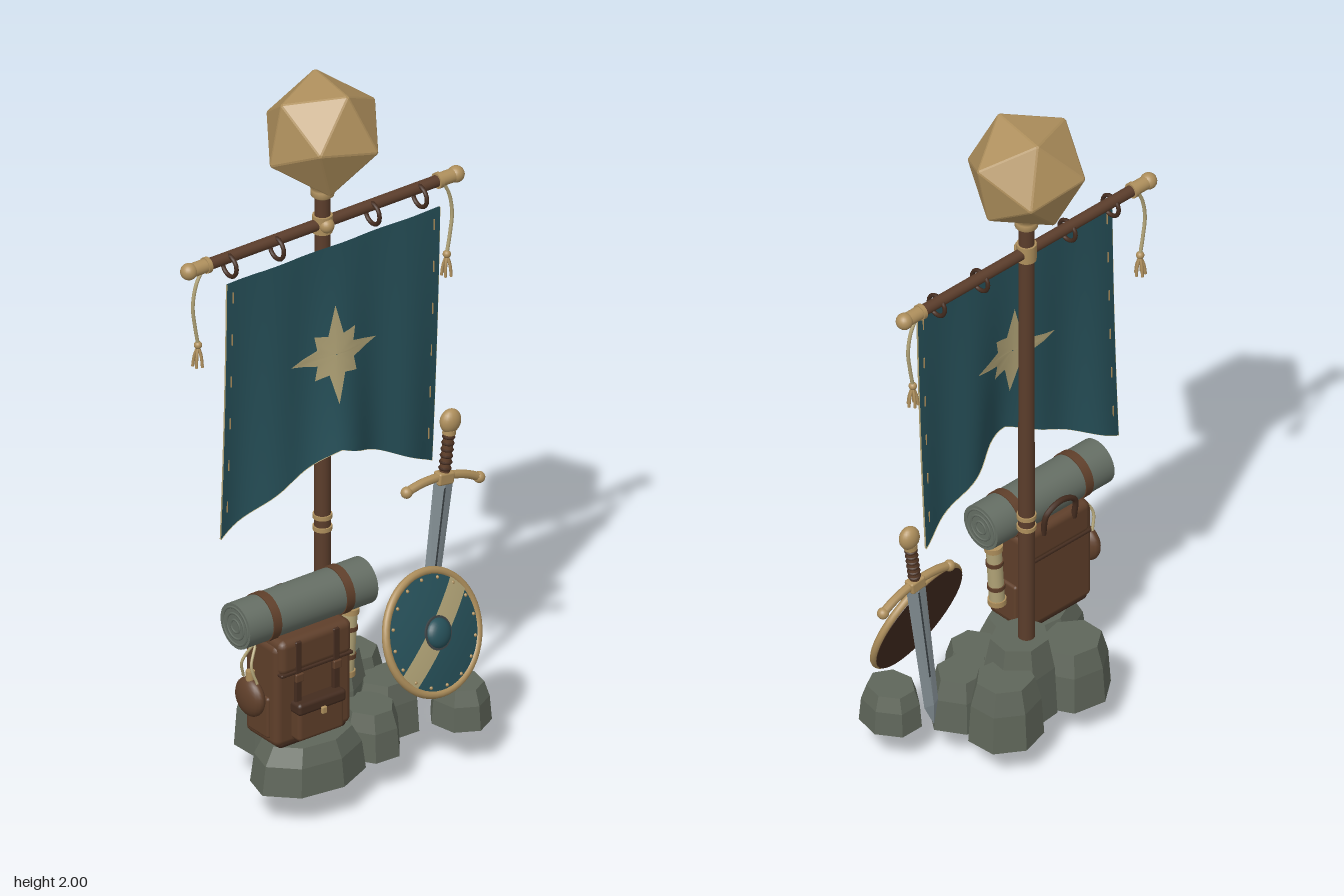
import * as THREE from 'three';
import { ConvexGeometry } from 'three/addons/geometries/ConvexGeometry.js';
import { ParametricGeometry } from 'three/addons/geometries/ParametricGeometry.js';
import { RoundedBoxGeometry } from 'three/addons/geometries/RoundedBoxGeometry.js';

const paint = (name, color, extra = {}) => Object.assign(new THREE.MeshStandardMaterial({ color, ...extra }), { name });
const V = (x, y, z = 0) => new THREE.Vector3(x, y, z);
const PX = -0.031, PZ = -0.074; // pole axis

export function createModel() {
  const gold = paint('gold', 0xae8f5c);
  const wood = paint('wood', 0x5b3d2b);
  const darkLeather = paint('dark leather', 0x442c1f);
  const leather = paint('leather', 0x5f3f2a);
  const cloth = paint('teal cloth', 0x27515a, { side: THREE.DoubleSide });
  const cream = paint('cream', 0xb3a578, { side: THREE.DoubleSide });
  const stone = paint('stone', 0x5f665a, { flatShading: true });
  const wool = paint('grey wool', 0x656e64);
  const steel = paint('steel', 0x8a969b, { flatShading: true });
  const iron = paint('dark iron', 0x3c4346);

  const root = new THREE.Group();
  const group = (name, parent = root, x = 0, y = 0, z = 0) => {
    const g = new THREE.Group();
    g.name = name;
    g.position.set(x, y, z);
    parent.add(g);
    return g;
  };
  const add = (parent, name, geo, mat, x = 0, y = 0, z = 0) => {
    const m = new THREE.Mesh(geo, mat);
    m.name = name;
    m.position.set(x, y, z);
    parent.add(m);
    return m;
  };
  const cyl = (r, h, r2 = r, n = 20) => new THREE.CylinderGeometry(r2, r, h, n);
  const cylX = (r, h, n = 20) => cyl(r, h, r, n).rotateZ(Math.PI / 2);
  const box = (w, h, d, r = 0.006) => new RoundedBoxGeometry(w, h, d, 2, r);
  const ball = (r) => new THREE.SphereGeometry(r, 20, 14);
  const lathe = (pts, n) => new THREE.LatheGeometry(pts.map(([r, y]) => new THREE.Vector2(r, y)), n);
  const tube = (pts, r, n = 24) => new THREE.TubeGeometry(new THREE.CatmullRomCurve3(pts), n, r, 8);
  const sheet = (f, n, m) => {
    const g = new ParametricGeometry(f, n, m);
    g.computeVertexNormals();
    return g;
  };

  // Rocks: tapered prisms [x, z, rx, rz, top, sides, turn, base]
  const rocks = group('rocks');
  [[-0.215, 0.105, 0.17, 0.115, 0.225, 8, 0.2], [0.0, 0.085, 0.085, 0.095, 0.225, 7, 0.4],
    [-0.02, -0.06, 0.105, 0.1, 0.33, 7, 0.1], [-0.17, -0.1, 0.11, 0.1, 0.265, 7, 0.7],
    [0.08, -0.11, 0.105, 0.1, 0.275, 7, 0.3], [0.11, 0.02, 0.1, 0.085, 0.245, 6, 0.5],
    [0.27, 0.122, 0.08, 0.09, 0.22, 7, 0.9, 0.108]].forEach(([x, z, rx, rz, top, n, turn, base = 0.094]) => {
    const h = top - base;
    const geo = lathe([[0, 0], [1, 0], [0.93, 0.62 * h], [0.76, h], [0, h]], n);
    geo.rotateY(turn).scale(rx, 1, rz);
    add(rocks, 'rock', geo, stone, x, base, z);
  });

  // Standard: foot, pole, collars and faceted finial
  const standard = group('standard', root, PX, 0, PZ);
  add(standard, 'poleFoot', cyl(0.029, 0.15), cloth, 0, 0.075);
  add(standard, 'pole', cyl(0.0225, 1.6, 0.021), wood, 0, 0.93);
  for (const y of [0.69, 0.725]) add(standard, 'poleRing', cyl(0.026, 0.012), gold, 0, y);
  add(standard, 'finialCollar', lathe([[0.024, 1.672], [0.031, 1.678], [0.031, 1.695], [0.026, 1.698],
    [0.034, 1.704], [0.034, 1.716], [0.042, 1.72], [0.042, 1.738], [0, 1.742]], 20), gold);
  const ico = new THREE.IcosahedronGeometry(0.169, 0).rotateY(Math.PI / 2).getAttribute('position');
  const facets = [];
  for (let i = 0; i < ico.count; i += 3) { // chamfer by pulling corners towards face centres
    const tri = [0, 1, 2].map((k) => V(0, 0).fromBufferAttribute(ico, i + k));
    const mid = V(0, 0).add(tri[0]).add(tri[1]).add(tri[2]).divideScalar(3);
    tri.forEach((p) => facets.push(p.lerp(mid, 0.06)));
  }
  add(standard, 'finial', new ConvexGeometry(facets), gold, 0, 1.861).rotation.set(0, -0.14, -0.19);

  // Crossbar with end caps, rings and tasselled cords
  const bar = group('crossbar', root, PX, 1.593, PZ);
  add(bar, 'bar', cylX(0.016, 0.8), wood);
  add(bar, 'barClamp', cyl(0.027, 0.05), gold);
  add(bar, 'barClampBoss', ball(0.021), gold, 0, 0, 0.018);
  for (const s of [-1, 1]) {
    add(bar, 'barCap', cylX(0.019, 0.06), gold, s * 0.405);
    add(bar, 'barCapRing', cylX(0.022, 0.012), gold, s * 0.38);
    add(bar, 'barKnob', ball(0.023), gold, s * 0.438);
    const cord = [V(s * 0.395, -0.01), V(s * 0.415, -0.05), V(s * 0.425, -0.11), V(s * 0.418, -0.17), V(s * 0.408, -0.225)];
    add(bar, 'cord', tube(cord, 0.005), cream);
    add(bar, 'tasselKnot', ball(0.011), gold, s * 0.408, -0.228);
    for (let k = 0; k < 5; k++) {
      const a = k * 1.257;
      add(bar, 'tasselStrand', tube([V(s * 0.408, -0.23), V(s * 0.408 + 0.01 * Math.cos(a), -0.26, 0.01 * Math.sin(a)),
        V(s * 0.408 + 0.014 * Math.cos(a), -0.29, 0.014 * Math.sin(a))], 0.004, 6), gold);
    }
    for (const x of [0.157, 0.312]) {
      add(bar, 'bannerRing', new THREE.TorusGeometry(0.03, 0.006, 8, 20).rotateY(Math.PI / 2), darkLeather, s * x, -0.02, 0.01);
    }
  }

  // Banner: waving cloth with notched lower edge
  const banner = group('banner');
  const hem = (s) => 0.962 - 0.178 * Math.pow(Math.abs(s), 1.12);
  const drape = (x, y, off, t) => {
    const s = (x - PX) / 0.35, v = (1.545 - y) / (1.545 - hem(s));
    const z = -0.027 - 0.016 * v * v * s * s + 0.009 * (0.2 + v) * Math.sin(s * 10 + 0.6) + 0.04 * v * v * Math.exp(-s * s * 7);
    return t.set(x - 0.008 * v, y, z + off);
  };
  for (const off of [-0.002, 0.002]) {
    add(banner, 'bannerCloth', sheet((u, v, t) => {
      const s = 2 * u - 1;
      drape(PX + 0.35 * s, 1.545 + (hem(s) - 1.545) * v, off, t);
    }, 48, 24), cloth);
  }
  add(banner, 'bannerHem', sheet((u, v, t) => {
    const s = 2 * u - 1;
    drape(PX + 0.35 * s, hem(s), (v - 0.5) * 0.009, t);
  }, 48, 1), cream);
  for (const s of [-1, 1]) {
    add(banner, 'bannerSideHem', sheet((u, v, t) => drape(PX + 0.35 * s, 1.545 + (hem(1) - 1.545) * u, (v - 0.5) * 0.006, t), 20, 1), cream);
    for (let k = 0; k < 6; k++) {
      const p = drape(PX + s * 0.33, 1.5 - k * 0.125, 0, V(0, 0));
      add(banner, 'stitch', new THREE.BoxGeometry(0.003, 0.032, 0.009), gold, p.x, p.y, p.z);
    }
  }
  const ray = (k) => {
    const r = k % 2 ? 0.06 : k % 4 ? 0.09 : 0.142;
    return V(r * Math.sin(k * Math.PI / 8), r * Math.cos(k * Math.PI / 8));
  };
  for (const off of [-0.006, 0.006]) {
    add(banner, 'star', sheet((u, v, t) => {
      const k = Math.min(15, Math.floor(u * 16 + 1e-6));
      const p = ray(k).lerp(ray(k + 1), u * 16 - k).multiplyScalar(0.02 + 0.98 * v);
      drape(PX + p.x, 1.233 + p.y, off, t);
    }, 32, 6), cream);
  }

  // Backpack
  const pack = group('backpack', root, -0.237, 0, 0);
  add(pack, 'packBody', box(0.25, 0.3, 0.14, 0.02), leather, 0, 0.388, 0.092);
  add(pack, 'packBase', box(0.225, 0.05, 0.135, 0.015), darkLeather, 0, 0.255, 0.092);
  add(pack, 'packFlap', box(0.235, 0.1, 0.156, 0.02), leather, 0, 0.503, 0.097);
  add(pack, 'packFlapEdge', box(0.235, 0.01, 0.158, 0.004), darkLeather, 0, 0.456, 0.097);
  add(pack, 'frontPocket', box(0.15, 0.11, 0.045, 0.012), leather, 0, 0.31, 0.172);
  add(pack, 'pocketFlap', box(0.156, 0.035, 0.052, 0.01), darkLeather, 0, 0.352, 0.174);
  add(pack, 'pocketBuckle', box(0.016, 0.02, 0.01, 0.003), gold, 0, 0.335, 0.203);
  for (const s of [-1, 1]) {
    add(pack, 'packStrap', box(0.02, 0.29, 0.012, 0.004), darkLeather, s * 0.062, 0.4, 0.171);
    add(pack, 'strapBuckle', box(0.026, 0.024, 0.01, 0.003), leather, s * 0.062, 0.44, 0.178);
    add(pack, 'sidePocket', box(0.018, 0.12, 0.09, 0.008), leather, s * 0.124, 0.32, 0.09);
  }
  add(pack, 'carryHandle', tube([V(-0.055, 0.53, 0.022), V(-0.05, 0.595, 0.014), V(0, 0.618, 0.012), V(0.05, 0.595, 0.014), V(0.055, 0.53, 0.022)], 0.008), darkLeather);

  // Canteen hung on the pack's right side
  const canteen = group('canteen', root, -0.385, 0.37, 0.08);
  add(canteen, 'canteenBody', ball(0.055).scale(0.5, 1, 1), leather);
  add(canteen, 'canteenNeck', cyl(0.012, 0.03), gold, 0, 0.062);
  add(canteen, 'canteenCord', tube([V(0, 0.05, -0.03), V(-0.012, 0.1, -0.02), V(0.015, 0.15, 0), V(-0.012, 0.1, 0.02), V(0, 0.05, 0.03)], 0.004), cream);

  // Bedroll on top of the pack
  const roll = group('bedroll', root, -0.23, 0.6, 0.088);
  add(roll, 'rolledBlanket', cylX(0.064, 0.42, 32), wool);
  for (const s of [-1, 1]) {
    add(roll, 'bedrollStrap', cylX(0.067, 0.026, 32), leather, s * 0.12);
    for (const r of [0.018, 0.036, 0.053]) {
      add(roll, 'rollLayer', new THREE.TorusGeometry(r, 0.004, 6, 28).rotateY(Math.PI / 2), wool, s * 0.209);
    }
  }

  // Scroll strapped to the pack's left side
  const scroll = group('scroll', root, -0.065, 0.43, 0.08);
  scroll.rotation.z = -0.07;
  add(scroll, 'scrollRoll', cyl(0.021, 0.18), cream);
  for (const y of [-0.09, 0.09]) add(scroll, 'scrollCap', cyl(0.025, 0.016), gold, 0, y);
  for (const y of [-0.04, 0.04]) add(scroll, 'scrollTie', cyl(0.024, 0.012), leather, 0, y);

  // Round domed shield leaning back
  const shield = group('shield', root, 0.176, 0.394, 0.126);
  shield.rotation.set(-0.33, 0.14, 0, 'YXZ');
  const dome = (r) => 0.005 + 0.018 * (1 - (r / 0.16) ** 2);
  const disc = (r, h) => cyl(r, h, r, 48).rotateX(Math.PI / 2);
  add(shield, 'shieldBack', disc(0.166, 0.012), darkLeather, 0, 0, -0.006);
  add(shield, 'shieldFace', lathe([0.16, 0.12, 0.08, 0.04, 0].map((r) => [r, dome(r)]), 48).rotateX(Math.PI / 2), cloth);
  add(shield, 'shieldRim', new THREE.TorusGeometry(0.163, 0.011, 10, 48), gold);
  add(shield, 'shieldStripe', sheet((u, v, t) => {
    const x = (u - 0.5) * 0.31, y = (v - 0.5) * 0.062;
    t.set(x, y, dome(Math.hypot(x, y)) + 0.002);
  }, 24, 6), cream).rotation.z = 0.68;
  add(shield, 'bossRing', disc(0.046, 0.012), iron, 0, 0, 0.02);
  add(shield, 'shieldBoss', new THREE.SphereGeometry(0.041, 24, 8, 0, Math.PI * 2, 0, Math.PI / 2).rotateX(Math.PI / 2).scale(1, 1, 0.6), cloth, 0, 0, 0.023);
  for (let k = 0; k < 16; k++) {
    const a = k * Math.PI / 8;
    add(shield, 'rivet', new THREE.SphereGeometry(0.005, 8, 6), gold, 0.145 * Math.cos(a), 0.145 * Math.sin(a), dome(0.145));
  }

  // Sword, point down
  const sword = group('sword', root, 0.363, 0.7, PZ + 0.004);
  sword.rotation.z = -0.134;
  const ring = (w, y) => [V(-w, y), V(w, y), V(0, y, 0.01), V(0, y, -0.01)];
  add(sword, 'blade', new ConvexGeometry([...ring(0.033, 0), ...ring(0.025, -0.42), V(0, -0.495)]), steel);
  add(sword, 'bladeFuller', new THREE.BoxGeometry(0.005, 0.3, 0.0205), iron, 0, -0.17);
  add(sword, 'guard', tube([V(-0.118, -0.012), V(-0.07, 0.004), V(0, 0.012), V(0.07, 0.004), V(0.118, -0.012)], 0.012), gold);
  add(sword, 'guardBlock', box(0.05, 0.035, 0.032), gold, 0, 0.008);
  for (const s of [-1, 1]) add(sword, 'guardKnob', ball(0.016), gold, s * 0.12, -0.014);
  add(sword, 'grip', cyl(0.014, 0.12), leather, 0, 0.08);
  for (let k = 0; k < 6; k++) {
    add(sword, 'gripWrap', new THREE.TorusGeometry(0.014, 0.004, 6, 16).rotateX(Math.PI / 2), darkLeather, 0, 0.035 + k * 0.018);
  }
  add(sword, 'pommelCollar', cyl(0.018, 0.014), gold, 0, 0.14);
  add(sword, 'pommel', ball(0.031).scale(1, 1.1, 0.75), gold, 0, 0.17);

  return root;
}
